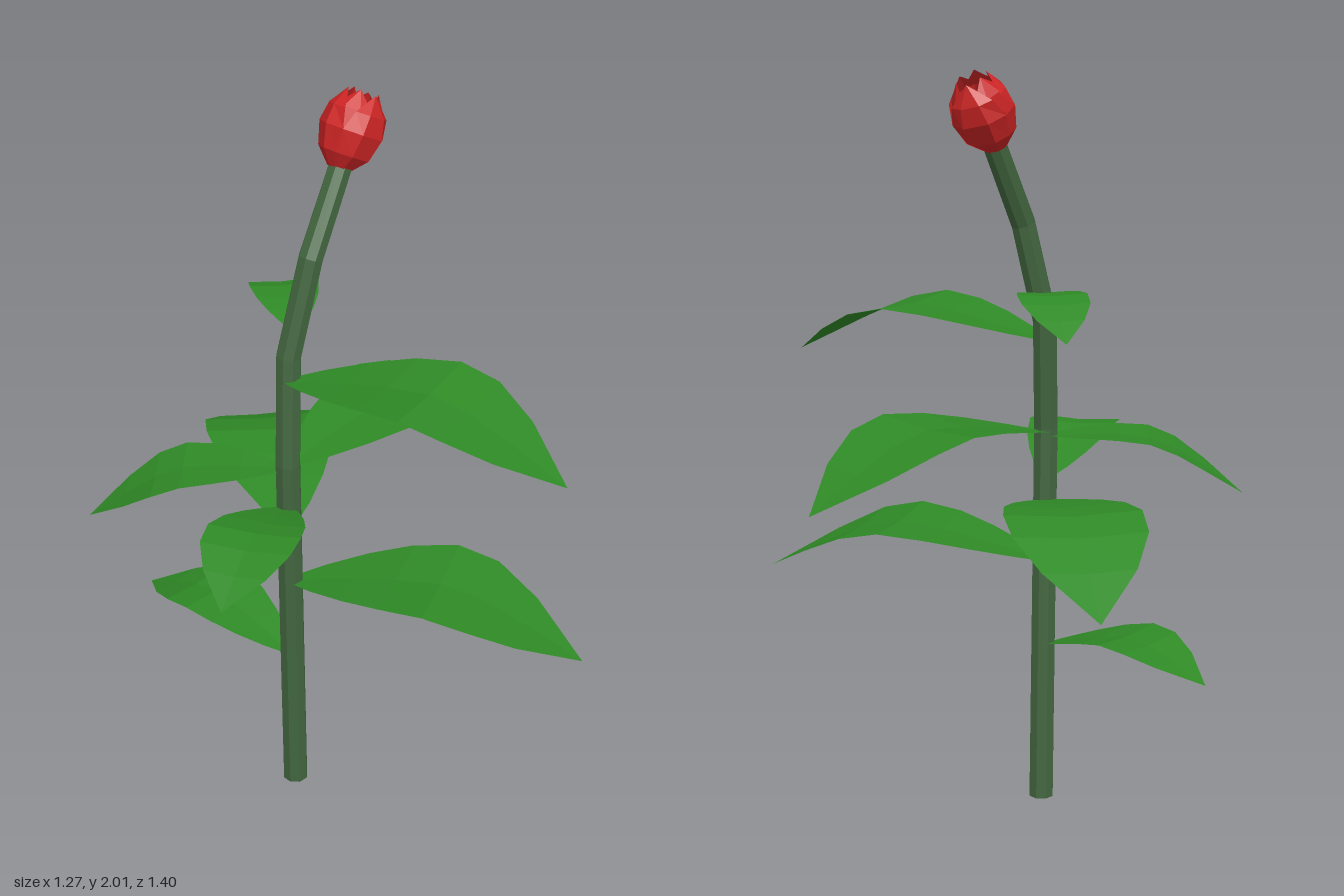
import * as THREE from 'three';

const V = (x, y, z) => new THREE.Vector3(x, y, z);

// Faceted surface through rows of points; faces look along (column x row)
function grid(rows) {
  const out = [];
  const tri = (a, b, c) => {
    const n = b.clone().sub(a).cross(c.clone().sub(a));
    if (n.length() > 1e-8) for (const p of [a, b, c]) out.push(p.x, p.y, p.z);
  };
  for (let i = 0; i < rows.length - 1; i++) {
    for (let j = 0; j < rows[i].length - 1; j++) {
      const a = rows[i][j], b = rows[i][j + 1], c = rows[i + 1][j], d = rows[i + 1][j + 1];
      tri(a, b, c);
      tri(b, d, c);
    }
  }
  const g = new THREE.BufferGeometry();
  g.setAttribute('position', new THREE.Float32BufferAttribute(out, 3));
  g.computeVertexNormals();
  return g;
}

// Stem: eight-sided rings along a kinked path
function stemGeometry(path, sides = 8) {
  const up = V(0, 1, 0);
  const rows = path.map(([x, y, z, r], i) => {
    const a = path[Math.max(i - 1, 0)], b = path[Math.min(i + 1, path.length - 1)];
    const dir = i === 0 ? up : V(b[0] - a[0], b[1] - a[1], b[2] - a[2]).normalize();
    const q = new THREE.Quaternion().setFromUnitVectors(up, dir);
    return Array.from({ length: sides + 1 }, (_, k) => {
      const t = (k / sides) * Math.PI * 2 + Math.PI / 8;
      return V(Math.cos(t) * r, 0, -Math.sin(t) * r).applyQuaternion(q).add(V(x, y, z));
    });
  });
  return grid(rows);
}

// Leaf: stations of [distance, half width, arch], all relative to its length
const LEAF = [
  [0, 0.02, 0], [0.1, 0.085, 0.033], [0.23, 0.15, 0.075], [0.37, 0.2, 0.116], [0.52, 0.225, 0.146],
  [0.66, 0.217, 0.131], [0.81, 0.15, 0.079], [1, 0, 0],
];
function leafGeometry(base, tip) {
  const f = V(tip.x - base.x, 0, tip.z - base.z);
  const len = f.length();
  f.normalize();
  const side = V(-f.z, 0, f.x);
  return grid(LEAF.map(([t, w, arch]) => {
    const mid = base.clone().lerp(tip, t);
    mid.y += arch * len;
    return [-1, 0, 1].map((s) => {
      const p = mid.clone().addScaledVector(side, s * w * len);
      p.y += s ? 0.06 * w * len : 0;
      return p;
    });
  }));
}

// Petal: cupped strip, rows of [height, radius, half angle]
const PETAL = [
  [-0.1, 0.03, 1.1], [-0.06, 0.068, 1.1], [0, 0.085, 1.05], [0.05, 0.075, 0.85], [0.1, 0.042, 0],
];
function petalGeometry(angle, scale, lift) {
  return grid(PETAL.map(([h, r, half]) => [-1, -0.4, 0.4, 1].map((s) => {
    const a = angle + s * half;
    return V(Math.cos(a) * r * scale, h + lift, -Math.sin(a) * r * scale);
  })));
}

export function createModel() {
  const model = new THREE.Group();
  const material = (name, color, side = THREE.FrontSide) => {
    const m = new THREE.MeshStandardMaterial({ color, side });
    m.name = name;
    return m;
  };
  const stemGreen = material('stem green', 0x42663f);
  const leafGreen = material('leaf green', 0x2f8a26, THREE.DoubleSide);
  const petalRed = material('petal red', 0xcc2424, THREE.DoubleSide);
  const add = (parent, name, geometry, mat) => {
    const mesh = new THREE.Mesh(geometry, mat);
    mesh.name = name;
    parent.add(mesh);
    return mesh;
  };

  // Stem and its cut end
  add(model, 'stem', stemGeometry([
    [-0.15, 0, -0.053, 0.035], [-0.172, 1.05, -0.04, 0.034], [-0.148, 1.35, -0.058, 0.034],
    [-0.082, 1.61, -0.043, 0.033], [0.05, 1.86, -0.055, 0.031],
  ]), stemGreen);
  const cut = add(model, 'stemCutEnd', new THREE.CircleGeometry(0.035, 8, Math.PI / 8), petalRed);
  cut.rotation.x = Math.PI / 2;
  cut.position.set(-0.15, 0.001, -0.053);

  // Leaves: base height, tip
  const leaves = new THREE.Group();
  leaves.name = 'leaves';
  model.add(leaves);
  [
    [0.44, -0.225, 0.445, -0.585], [0.68, 0.225, 0.59, 0.665], [0.85, 0.285, 0.755, -0.7],
    [0.91, -0.635, 0.93, 0.23], [1.03, -0.54, 0.875, -0.425], [1.04, 0.635, 0.95, -0.035],
    [1.29, 0.08, 1.195, 0.7], [1.42, 0.095, 1.36, -0.385],
  ].forEach(([y, tx, ty, tz], i) => {
    const bx = y > 1.4 ? -0.13 : -0.165;
    add(leaves, 'leaf' + (i + 1), leafGeometry(V(bx, y, -0.048), V(tx, ty, tz)), leafGreen);
  });

  // Flower bud: three outer petals over three inner ones
  const bud = new THREE.Group();
  bud.name = 'flowerBud';
  bud.position.set(0.072, 1.905, -0.058);
  bud.rotation.z = -0.46;
  model.add(bud);
  for (let i = 0; i < 3; i++) {
    const a = (i / 3) * Math.PI * 2 + 0.5;
    add(bud, 'outerPetal', petalGeometry(a, 1, 0), petalRed);
    add(bud, 'innerPetal', petalGeometry(a + Math.PI / 3, 0.9, 0.003), petalRed);
  }
  const base = add(bud, 'budBase', new THREE.CircleGeometry(0.03, 8), petalRed);
  base.rotation.x = Math.PI / 2;
  base.position.y = -0.098;

  return model;
}
